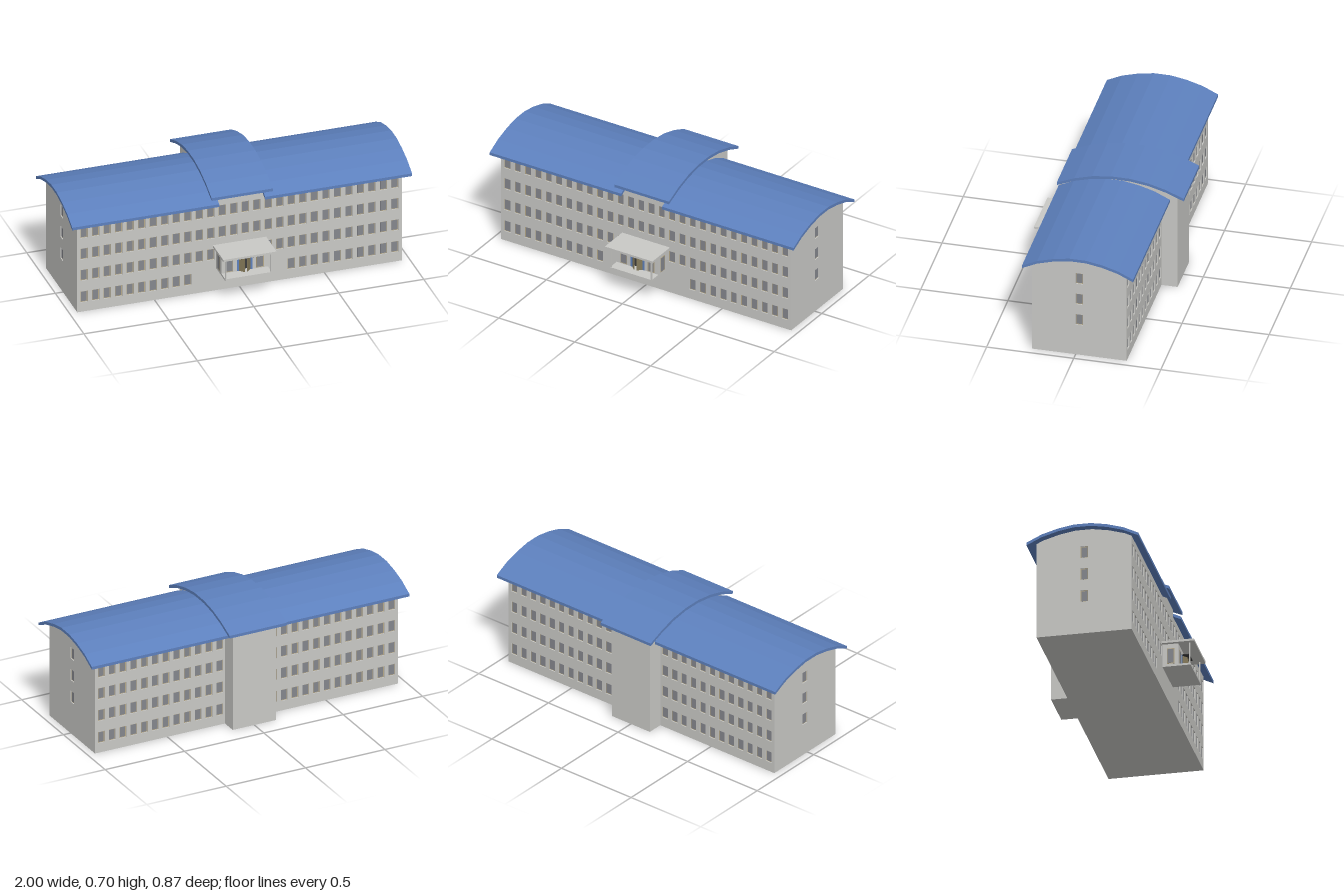
import * as THREE from 'three';
import { mergeGeometries } from 'three/addons/utils/BufferGeometryUtils.js';

const mat = (name, color) => {
  const m = new THREE.MeshStandardMaterial({ color });
  m.name = name;
  return m;
};

export function createModel() {
  const group = new THREE.Group();
  const wall = mat('wall grey', 0xc9c9c6);
  const roofBlue = mat('roof blue', 0x5d80bd);
  const glass = mat('window glass', 0x85878d);
  const trim = mat('window frame tan', 0xb5a888);
  const doorTan = mat('door brown', 0x857a5a);
  const dark = mat('dark metal', 0x3c3c3c);

  const add = (name, geometry, material) => {
    const mesh = new THREE.Mesh(geometry, material);
    mesh.name = name;
    group.add(mesh);
    return mesh;
  };
  // Box given by its limits on each axis
  const box = (x0, x1, y0, y1, z0, z1) =>
    new THREE.BoxGeometry(x1 - x0, y1 - y0, z1 - z0)
      .translate((x0 + x1) / 2, (y0 + y1) / 2, (z0 + z1) / 2);
  const shapeOf = (pts) => new THREE.Shape(pts.map(([a, b]) => new THREE.Vector2(a, b)));
  const extrude = (shape, depth) =>
    new THREE.ExtrudeGeometry(shape, { depth, bevelEnabled: false });
  // Extrude a (z, y) outline from x0 to x1
  const alongX = (shape, x0, x1) =>
    extrude(shape, x1 - x0).rotateY(-Math.PI / 2).translate(x1, 0, 0);
  const punch = (shape, u, y, w, h) => {
    const hole = new THREE.Path();
    hole.moveTo(u - w / 2, y - h / 2);
    hole.lineTo(u - w / 2, y + h / 2);
    hole.lineTo(u + w / 2, y + h / 2);
    hole.lineTo(u + w / 2, y - h / 2);
    hole.closePath();
    shape.holes.push(hole);
  };

  // Roof curves as (z, y) points, front to back
  const lowArc = [[0.297, 0.568], [0.21, 0.61], [0.118, 0.637], [0.026, 0.653],
    [-0.07, 0.653], [-0.162, 0.637], [-0.254, 0.61], [-0.341, 0.568]];
  const highArc = [[0.297, 0.614], [0.197, 0.656], [0.095, 0.685], [-0.01, 0.7],
    [-0.123, 0.7], [-0.228, 0.685], [-0.33, 0.656], [-0.432, 0.614]];
  const roofShape = (arc) =>
    shapeOf([...arc, ...[...arc].reverse().map(([z, y]) => [z, y - 0.017])]);
  // Gable outline whose top lies inside the roof thickness
  const gable = (arc, zf, zb, endY) => shapeOf([[zb, 0], [zf, 0], [zf, endY],
    ...arc.filter(([z]) => z < zf - 0.01 && z > zb + 0.01).map(([z, y]) => [z, y - 0.009]),
    [zb, endY]]);

  // Roofs
  for (const s of [-1, 1]) {
    add(s > 0 ? 'leftWingRoof' : 'rightWingRoof',
      alongX(roofShape(lowArc), s > 0 ? 0.135 : -1, s > 0 ? 1 : -0.135), roofBlue);
  }
  add('centreRoof', alongX(roofShape(highArc), -0.18, 0.18), roofBlue);

  // Window layout
  const D = 0.01, W = 0.042, H = 0.069;
  const HX = 0.955, HC = 0.136, ZF = 0.25, ZB = -0.293, ZC = -0.386;
  const rows = [0.093, 0.23, 0.365, 0.5];
  const columns = Array.from({ length: 28 }, (_, i) => -0.914 + i * 1.828 / 27);
  const frames = [], panes = [];
  // Framed window plate: outward direction given by a turn about y
  const addWindow = (x, y, z, turn, w = W, h = H) => {
    const place = (g, out) => g.translate(0, 0, out).rotateY(turn).translate(x, y, z);
    frames.push(place(new THREE.BoxGeometry(w, h, 0.004), 0.002));
    panes.push(place(new THREE.BoxGeometry(w - 0.009, h - 0.009, 0.004), 0.003));
  };

  // Solid body inside the window walls, and the centre block
  add('wingCore', alongX(gable(lowArc, ZF - D, ZB + D, 0.58), -HX + D, HX - D), wall);
  add('centreBlock', alongX(gable(highArc, ZF - D, ZC, 0.62), -HC, HC), wall);

  // Front wall
  const front = shapeOf([[-HX, 0], [HX, 0], [HX, 0.58], [HC, 0.58], [HC, 0.62],
    [-HC, 0.62], [-HC, 0.58], [-HX, 0.58]]);
  rows.forEach((y, r) => columns.forEach((x) => {
    const clear = [0.3, 0.15, 0, 0][r];
    if (Math.abs(x) < clear) return;
    punch(front, x, y, W, H);
    addWindow(x, y, ZF - D, 0);
  }));
  add('frontWall', extrude(front, D).translate(0, 0, ZF - D), wall);

  // Back walls and end walls
  for (const s of [-1, 1]) {
    const side = s > 0 ? 'left' : 'right';
    const [a, b] = s > 0 ? [HC, HX] : [-HX, -HC];
    const back = shapeOf([[a, 0], [b, 0], [b, 0.58], [a, 0.58]]);
    for (const y of rows) {
      for (const x of columns.filter((c) => c * s > 0.16)) {
        punch(back, x, y, W, H);
        addWindow(x, y, ZB + D, Math.PI);
      }
    }
    add(side + 'BackWall', extrude(back, D).translate(0, 0, ZB), wall);

    const end = gable(lowArc, ZF, ZB, 0.58);
    for (const y of rows.slice(1)) {
      punch(end, -0.021, y, W, H);
      addWindow(s * (HX - D), y, -0.021, s * Math.PI / 2);
    }
    add(side + 'EndWall', alongX(end, s > 0 ? HX - D : -HX, s > 0 ? HX : -HX + D), wall);
  }

  // Entrance porch
  add('porchFloor', box(-0.137, 0.137, 0.138, 0.15, ZF, 0.41), wall);
  add('porchRoof', box(-0.157, 0.157, 0.275, 0.288, ZF, 0.433), wall);
  const porchFront = shapeOf([[-0.137, 0.15], [0.137, 0.15], [0.137, 0.275], [-0.137, 0.275]]);
  punch(porchFront, 0, 0.199, 0.09, 0.096);
  add('porchFrontWall', extrude(porchFront, 0.01).translate(0, 0, 0.33), wall);
  add('doorwayShade', box(-0.045, 0.045, 0.151, 0.247, 0.322, 0.325), dark);
  add('doorCanopy', box(-0.045, 0.045, 0.246, 0.249, 0.34, 0.383), dark);
  for (const s of [-1, 1]) {
    const side = s > 0 ? 'left' : 'right';
    add(side + 'PorchWall', box(s * 0.132 - 0.005, s * 0.132 + 0.005, 0.15, 0.275, ZF, 0.34), wall);
    add(side + 'PorchPost', box(s * 0.133 - 0.004, s * 0.133 + 0.004, 0.15, 0.275, 0.4, 0.408), wall);
    addWindow(s * 0.09, 0.201, 0.338, 0, 0.044, 0.093);
    addWindow(s * 0.135, 0.201, 0.297, s * Math.PI / 2, 0.044, 0.093);
    add(side + 'DoorJamb', box(s * 0.04 - 0.005, s * 0.04 + 0.005, 0.151, 0.247, 0.328, 0.342), roofBlue);
    add(side + 'DoorLeaf', new THREE.BoxGeometry(0.034, 0.094, 0.004)
      .rotateY(s * 0.8).translate(s * 0.02, 0.198, 0.352), doorTan);
  }

  add('windowFrames', mergeGeometries(frames), trim);
  add('windowPanes', mergeGeometries(panes), glass);

  return group;
}
